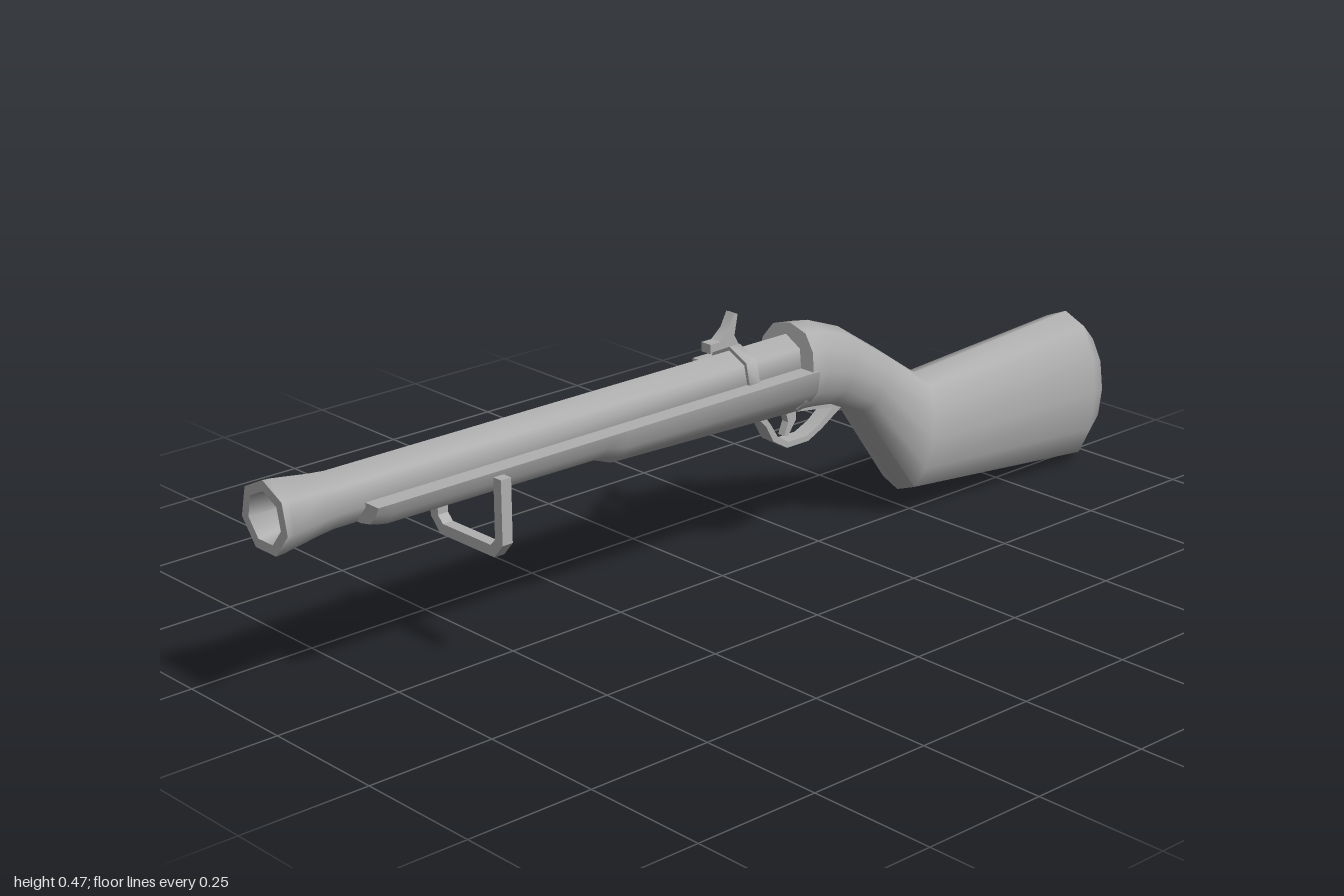
import * as THREE from 'three';
import { toCreasedNormals } from 'three/addons/utils/BufferGeometryUtils.js';

const gunGrey = new THREE.MeshStandardMaterial({ color: 0xb0b0b0 });
gunGrey.name = 'gunGrey';

// Closed loft through rings of [x, y, z], clockwise seen from +z, ordered front to back
function loft(rings) {
  const n = rings[0].length, pos = rings.flat(2), idx = [];
  for (let r = 0; r < rings.length - 1; r++) {
    for (let i = 0; i < n; i++) {
      const a = r * n + i, b = r * n + (i + 1) % n;
      idx.push(a, b, a + n, b, b + n, a + n);
    }
  }
  const last = (rings.length - 1) * n;
  for (let i = 1; i < n - 1; i++) {
    idx.push(0, i + 1, i, last, last + i, last + i + 1);
  }
  const g = new THREE.BufferGeometry();
  g.setAttribute('position', new THREE.Float32BufferAttribute(pos, 3));
  g.setIndex(idx);
  return g;
}

// Side outline of [z, y] points extruded from x0 to x1, with an optional hole
function sidePlate(points, x0, x1, hole) {
  const toV = ([z, y]) => new THREE.Vector2(-z, y);
  const shape = new THREE.Shape(points.map(toV));
  if (hole) shape.holes.push(new THREE.Path(hole.map(toV)));
  return new THREE.ExtrudeGeometry(shape, { depth: x1 - x0, bevelEnabled: false })
    .rotateY(Math.PI / 2).translate(x0, 0, 0);
}

export function createModel() {
  const gun = new THREE.Group();
  gun.name = 'longGun';
  const add = (name, geometry, crease = 0.5) => {
    const mesh = new THREE.Mesh(toCreasedNormals(geometry, crease), gunGrey);
    mesh.name = name;
    gun.add(mesh);
    return mesh;
  };
  const box = (name, w, h, d, x, y, z) =>
    add(name, new THREE.BoxGeometry(w, h, d).translate(x, y, z));

  // Seven-sided barrel with flared muzzle and tapering bore
  const barrelProfile = [[0, -0.2], [0.05, -0.2], [0.05, 0.88], [0.053, 0.91], [0.064, 0.985],
    [0.065, 1], [0.046, 1], [0.021, 0.8], [0, 0.8]].map(p => new THREE.Vector2(...p));
  add('barrel', new THREE.LatheGeometry(barrelProfile, 7, Math.PI)
    .rotateX(Math.PI / 2).translate(-0.003, 0.392, 0), 1.1);

  // Butt and wrist: [topZ, topY, bottomZ, bottomY, halfWidth]
  const stations = [
    [-0.165, 0.465, -0.145, 0.3, 0.074], [-0.21, 0.46, -0.19, 0.295, 0.069],
    [-0.29, 0.43, -0.25, 0.287, 0.063], [-0.39, 0.365, -0.32, 0.255, 0.062],
    [-0.5, 0.29, -0.46, 0.06, 0.073], [-0.94, 0.318, -0.94, 0.008, 0.085],
    [-0.98, 0.275, -0.98, 0.045, 0.07], [-1, 0.215, -1, 0.09, 0.042],
  ];
  const sides = 12;
  add('stock', loft(stations.map(([tz, ty, bz, by, w]) =>
    Array.from({ length: sides }, (_, i) => {
      const a = i / sides * Math.PI * 2, s = Math.sin(a), t = (1 + Math.cos(a)) / 2;
      return [0.004 + w * Math.sign(s) * Math.abs(s) ** 0.8, by + (ty - by) * t, bz + (tz - bz) * t];
    }))), 0.85);

  // Fore-end under the barrel, deeper towards the trigger: [z, bottomY]
  add('foreEnd', loft([[0.835, 0.348], [0.8, 0.336], [0.335, 0.33], [0.295, 0.315], [-0.17, 0.3]]
    .map(([z, b]) => {
      const m = b + (0.388 - b) * 0.38;
      return [[-0.075, 0.388, z], [0.08, 0.388, z], [0.074, m + 0.012, z], [0.056, m - 0.01, z],
        [0.03, b, z], [-0.03, b, z], [-0.054, m - 0.01, z], [-0.07, m + 0.012, z]];
    })), 0.75);

  // Square sling loop with chamfered lower corners
  const loop = new THREE.Shape([
    [-0.095, 0.38], [-0.095, 0.262], [-0.07, 0.235], [0.077, 0.235], [0.1, 0.262], [0.1, 0.38],
    [0.08, 0.38], [0.08, 0.268], [0.068, 0.255], [-0.062, 0.255], [-0.075, 0.268], [-0.075, 0.38],
  ].map(p => new THREE.Vector2(...p)));
  add('slingLoop', new THREE.ExtrudeGeometry(loop, { depth: 0.022, bevelEnabled: false })
    .translate(0, 0, 0.575));

  // Trigger guard and trigger
  add('triggerGuard', sidePlate(
    [[-0.065, 0.31], [-0.09, 0.285], [-0.11, 0.25], [-0.145, 0.229], [-0.2, 0.229], [-0.235, 0.245],
      [-0.29, 0.278], [-0.29, 0.3]], -0.012, 0.02,
    [[-0.09, 0.302], [-0.105, 0.282], [-0.12, 0.258], [-0.148, 0.24], [-0.195, 0.24], [-0.228, 0.254],
      [-0.265, 0.28], [-0.26, 0.302]]));
  add('trigger', sidePlate(
    [[-0.145, 0.31], [-0.155, 0.275], [-0.145, 0.25], [-0.155, 0.248], [-0.175, 0.275], [-0.175, 0.31]],
    -0.004, 0.012));

  // Barrel band at the breech
  add('barrelBand', new THREE.CylinderGeometry(0.057, 0.057, 0.026, 7, 1, false, Math.PI)
    .rotateX(Math.PI / 2).translate(-0.003, 0.392, -0.033), 1.1);

  // Lock on the right side: plate, pan, hammer and screw
  add('lockPlate', sidePlate(
    [[-0.02, 0.385], [-0.02, 0.35], [-0.07, 0.315], [-0.16, 0.315], [-0.25, 0.345], [-0.25, 0.375],
      [-0.17, 0.385]], -0.077, -0.06));
  box('pan', 0.03, 0.02, 0.04, -0.07, 0.401, -0.025);
  box('panCover', 0.025, 0.018, 0.025, -0.068, 0.43, -0.035);
  add('hammer', sidePlate(
    [[-0.1, 0.478], [-0.085, 0.45], [-0.06, 0.43], [-0.065, 0.405], [-0.09, 0.385], [-0.09, 0.35],
      [-0.125, 0.335], [-0.155, 0.352], [-0.18, 0.36], [-0.25, 0.36], [-0.26, 0.385], [-0.18, 0.392],
      [-0.145, 0.395], [-0.115, 0.41], [-0.1, 0.435], [-0.108, 0.475]], -0.097, -0.075));
  add('hammerScrew', new THREE.CylinderGeometry(0.014, 0.014, 0.012, 8)
    .rotateZ(Math.PI / 2).translate(-0.097, 0.358, -0.115), 0.9);

  return gun;
}
